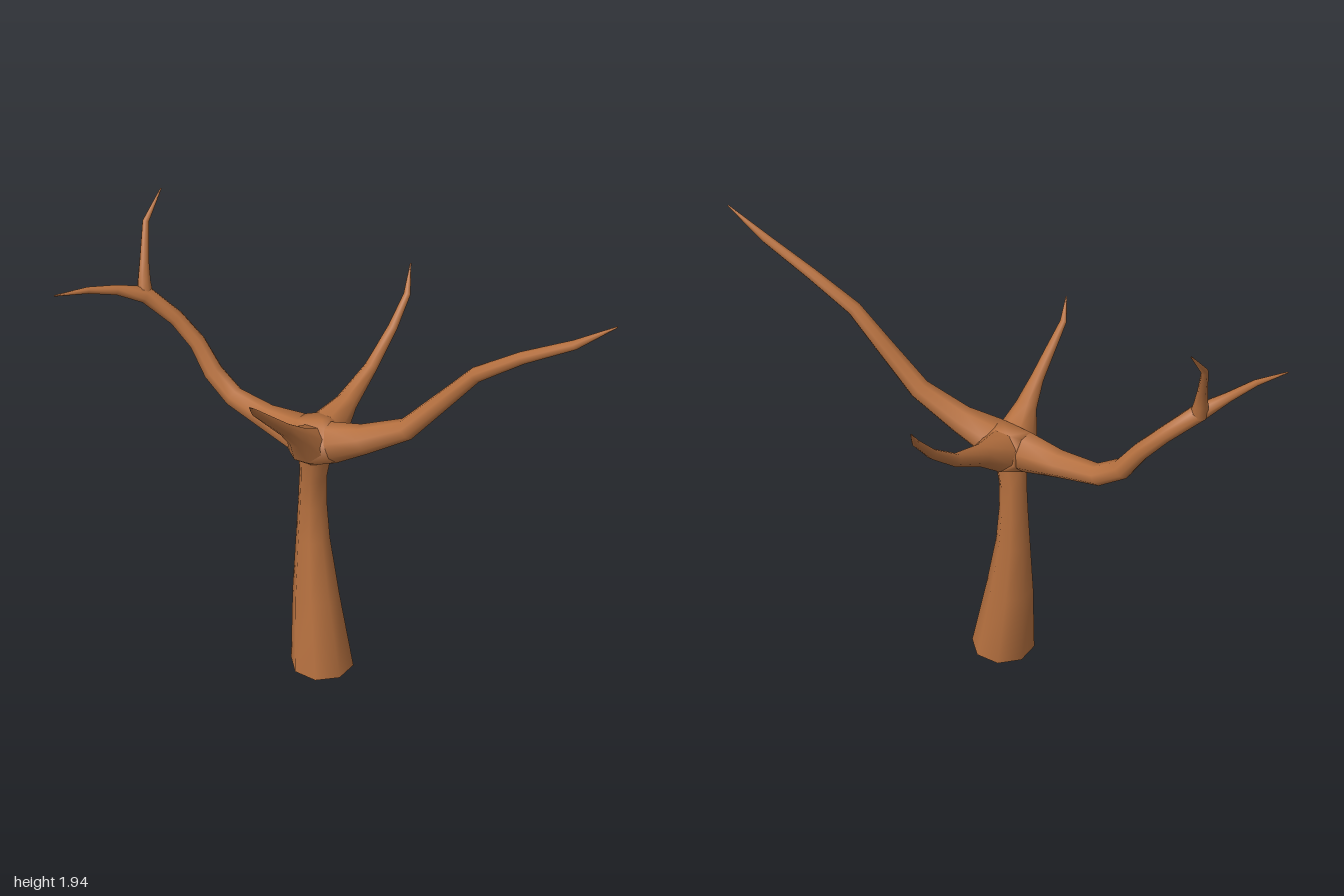
import * as THREE from 'three';
import { ConvexGeometry } from 'three/addons/geometries/ConvexGeometry.js';
import { mergeVertices } from 'three/addons/utils/BufferGeometryUtils.js';

const SIDES = 8;
const bark = new THREE.MeshStandardMaterial({ color: 0xb5703f, side: THREE.DoubleSide });

// Rings of points around a path; each path entry is [x, y, z, radius].
function makeRings(path, level = false) {
  const pts = path.map(([x, y, z]) => new THREE.Vector3(x, y, z));
  let u = null;
  return path.map((entry, i) => {
    const t = level
      ? new THREE.Vector3(0, 1, 0)
      : pts[Math.min(i + 1, pts.length - 1)].clone().sub(pts[Math.max(i - 1, 0)]).normalize();
    if (!u) u = level ? new THREE.Vector3(1, 0, 0) : new THREE.Vector3().crossVectors(t, new THREE.Vector3(0, 1, 0));
    u.addScaledVector(t, -u.dot(t)).normalize();
    const v = new THREE.Vector3().crossVectors(t, u);
    const ring = [];
    for (let k = 0; k < SIDES; k++) {
      const a = ((k + 0.5) / SIDES) * Math.PI * 2;
      ring.push(pts[i].clone()
        .addScaledVector(u, Math.cos(a) * entry[3])
        .addScaledVector(v, Math.sin(a) * entry[3]));
    }
    return ring;
  });
}

// Smooth open tube skinned over the rings.
function skin(rings) {
  const index = [];
  for (let i = 0; i < rings.length - 1; i++) {
    for (let k = 0; k < SIDES; k++) {
      const n = (k + 1) % SIDES;
      const a = i * SIDES + k, b = i * SIDES + n;
      index.push(a, b, b + SIDES, a, b + SIDES, a + SIDES);
    }
  }
  const geo = new THREE.BufferGeometry().setFromPoints(rings.flat());
  geo.setIndex(index);
  geo.computeVertexNormals();
  return geo;
}

export function createModel() {
  const tree = new THREE.Group();
  tree.name = 'bareTree';

  const add = (name, geo) => {
    const mesh = new THREE.Mesh(geo, bark);
    mesh.name = name;
    tree.add(mesh);
  };

  // Trunk, wide at the foot and leaning slightly back
  const trunk = makeRings([
    [0.015, 0, 0.043, 0.138],
    [-0.005, 0.35, 0.003, 0.102],
    [-0.013, 0.62, -0.025, 0.073],
    [-0.013, 0.78, -0.033, 0.062],
    [-0.012, 0.92, -0.027, 0.058],
    [-0.007, 1.02, -0.01, 0.066],
  ], true);
  add('trunk', skin(trunk));

  // Main branches, starting as broad collars around the crotch
  const branches = {
    frontLeftBranch: [
      [0.06, 1.12, 0.05, 0.085], [0.17, 1.17, 0.125, 0.062], [0.32, 1.27, 0.235, 0.046],
      [0.45, 1.45, 0.325, 0.037], [0.55, 1.59, 0.395, 0.031], [0.7, 1.71, 0.5, 0.025],
      [0.865, 1.825, 0.63, 0.019], [0.995, 1.94, 0.722, 0.003],
    ],
    backRightBranch: [
      [-0.06, 1.105, -0.07, 0.085], [-0.17, 1.115, -0.19, 0.058], [-0.29, 1.145, -0.33, 0.046],
      [-0.365, 1.225, -0.415, 0.043], [-0.42, 1.34, -0.47, 0.037], [-0.5, 1.44, -0.515, 0.034],
      [-0.62, 1.545, -0.548, 0.037], [-0.74, 1.587, -0.53, 0.021], [-0.86, 1.614, -0.498, 0.014],
      [-1, 1.62, -0.465, 0.003],
    ],
    backLeftBranch: [
      [0.06, 1.125, -0.065, 0.085], [0.15, 1.18, -0.15, 0.047], [0.275, 1.265, -0.27, 0.028],
      [0.385, 1.385, -0.37, 0.021], [0.46, 1.5, -0.44, 0.015], [0.49, 1.6, -0.52, 0.003],
    ],
    frontRightBranch: [
      [-0.05, 1.125, 0.05, 0.082], [-0.1, 1.205, 0.115, 0.045], [-0.16, 1.285, 0.18, 0.028],
      [-0.24, 1.385, 0.255, 0.02], [-0.3, 1.46, 0.31, 0.014], [-0.33, 1.53, 0.385, 0.003],
    ],
  };
  const hubPoints = [...trunk[trunk.length - 1], new THREE.Vector3(0.02, 1.2, 0)];
  for (const [name, path] of Object.entries(branches)) {
    const rings = makeRings(path);
    hubPoints.push(...rings[0]);
    add(name, skin(rings));
  }

  // Upright twig forking off the back right branch
  add('forkTwig', skin(makeRings([
    [-0.622, 1.54, -0.55, 0.036], [-0.622, 1.6, -0.565, 0.028], [-0.615, 1.68, -0.595, 0.02],
    [-0.595, 1.82, -0.668, 0.014], [-0.52, 1.935, -0.727, 0.003],
  ])));

  // Crotch joining the trunk and the branch collars
  const hull = new ConvexGeometry(hubPoints);
  hull.deleteAttribute('normal');
  const hub = mergeVertices(hull);
  hub.computeVertexNormals();
  add('crotch', hub);

  return tree;
}
